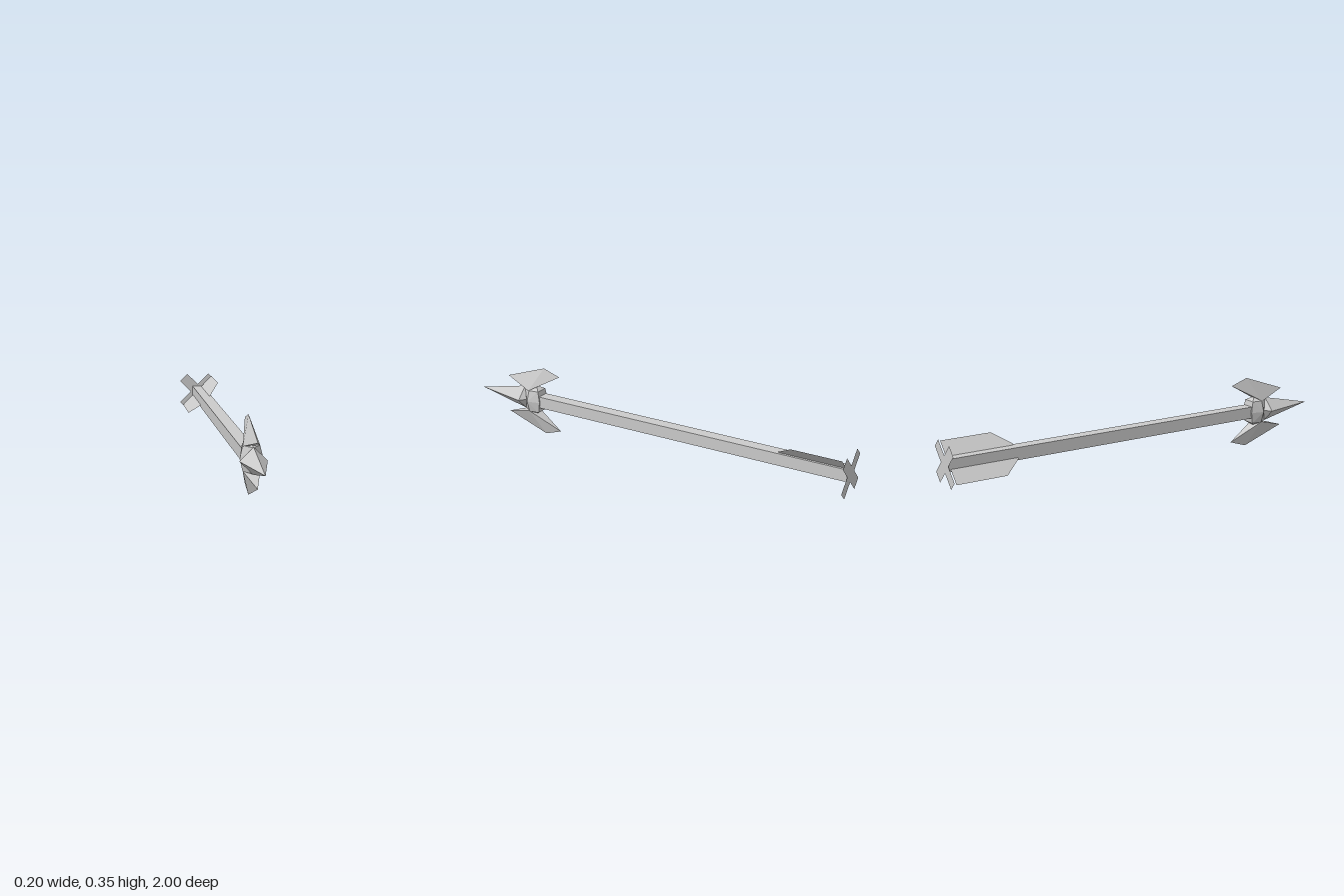
import * as THREE from 'three';
import { ConvexGeometry } from 'three/addons/geometries/ConvexGeometry.js';

const AXIS_Y = 0.176; // height of the arrow's axis

export function createModel() {
  const steel = new THREE.MeshStandardMaterial({ color: 0xcacaca, side: THREE.DoubleSide });
  steel.name = 'light steel grey';

  const model = new THREE.Group();
  model.name = 'arrow';
  const arrow = new THREE.Group();
  arrow.name = 'arrowParts';
  arrow.position.y = AXIS_Y;
  model.add(arrow);

  const add = (name, geometry) => {
    const mesh = new THREE.Mesh(geometry, steel);
    mesh.name = name;
    arrow.add(mesh);
    return mesh;
  };
  // faceted solid around a few corner points
  const solid = (points) => new ConvexGeometry(points.map((p) => new THREE.Vector3(...p)));

  // square shaft
  add('shaft', new THREE.BoxGeometry(0.058, 0.058, 1.66)).position.z = -0.168;

  // four-sided point with a short tapered back
  add('point', solid([
    [0, 0, 1], [0, 0, 0.69],
    [0.06, 0, 0.735], [-0.06, 0, 0.735], [0, 0.059, 0.735], [0, -0.059, 0.735],
  ]));

  // collar joining point, barbs and shaft
  const collar = [];
  for (const sx of [1, -1]) {
    collar.push([sx * 0.05, 0, 0.69], [sx * 0.036, 0, 0.625]);
    for (const sy of [1, -1]) {
      collar.push([sx * 0.037, sy * 0.055, 0.685], [sx * 0.031, sy * 0.055, 0.635]);
    }
  }
  for (const sy of [1, -1]) collar.push([0, sy * 0.055, 0.735], [0, sy * 0.075, 0.665]);
  add('collar', solid(collar));

  // upper and lower barbs
  for (const s of [1, -1]) {
    add(s > 0 ? 'upperBarb' : 'lowerBarb', solid([
      [0, s * 0.096, 0.835], [0, s * 0.174, 0.615], [0, s * 0.144, 0.525],
      [0.037, s * 0.053, 0.69], [-0.037, s * 0.053, 0.69],
    ]));
  }

  // flat cross closing the tail
  const cross = new THREE.Shape();
  const arm = 0.111, half = 0.028;
  const corners = [];
  for (let k = 0; k < 4; k++) {
    const turn = Math.PI / 4 + k * Math.PI / 2;
    for (const [x, y] of [[arm, -half], [arm, half], [half, half]]) {
      corners.push(new THREE.Vector2(x, y).rotateAround(new THREE.Vector2(), turn));
    }
  }
  cross.setFromPoints(corners);
  add('tailCross', new THREE.ShapeGeometry(cross)).position.z = -1;

  // thin diagonal fin plate, drawn as radius against length
  const fin = new THREE.Shape([
    [-0.112, -0.985], [0.112, -0.985], [0.112, -0.745],
    [0.04, -0.665], [-0.04, -0.665], [-0.112, -0.745],
  ].map((p) => new THREE.Vector2(...p)));
  const finGeometry = new THREE.ShapeGeometry(fin);
  finGeometry.rotateX(Math.PI / 2);
  finGeometry.rotateZ(Math.PI / 4);
  add('fins', finGeometry).position.set(-0.005, 0.007, 0);

  return model;
}
